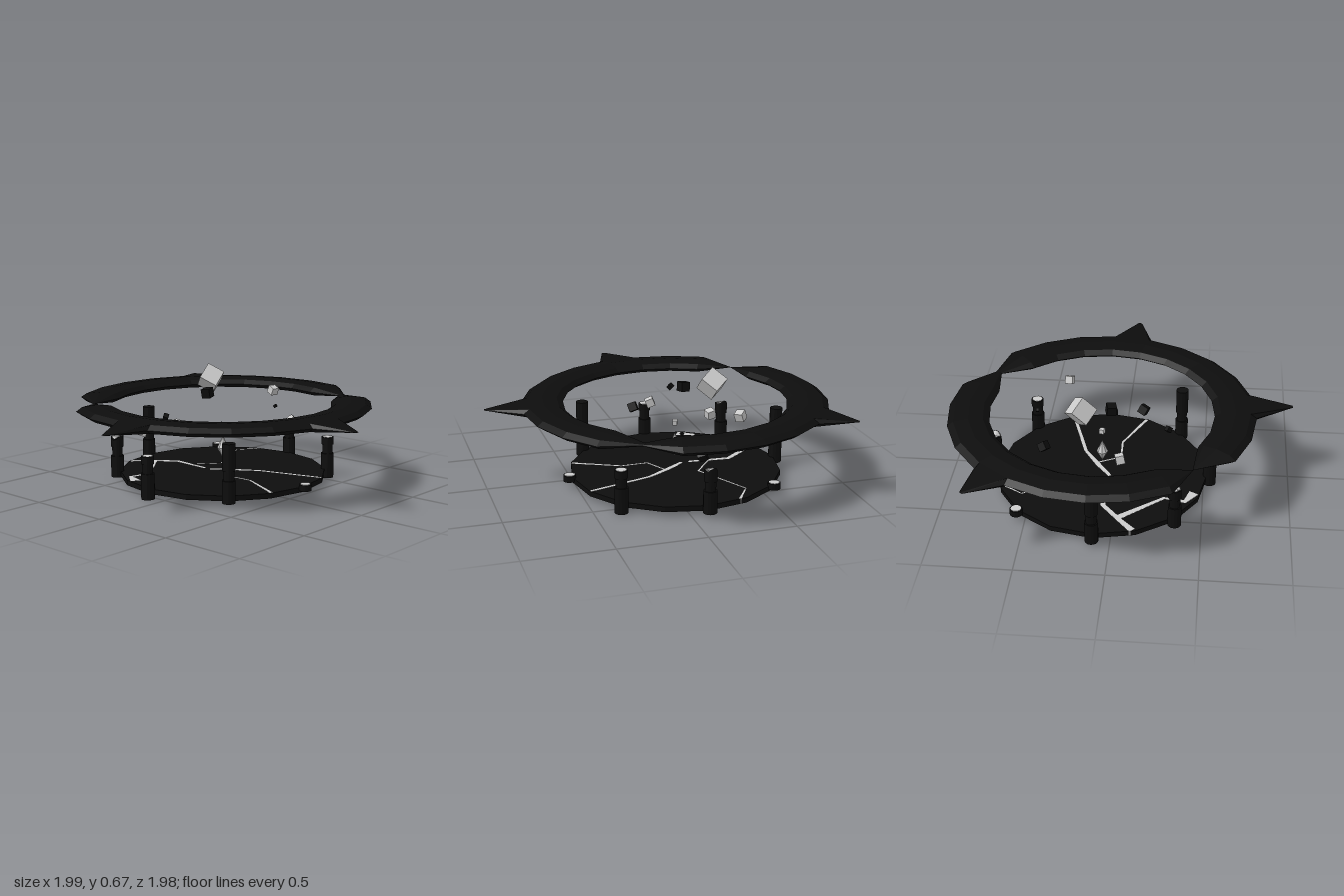
import * as THREE from 'three';
import { ConvexGeometry } from 'three/addons/geometries/ConvexGeometry.js';

const dark = new THREE.MeshStandardMaterial({ color: 0x0d0d0d, flatShading: true });
const grey = new THREE.MeshStandardMaterial({ color: 0xcccccc, flatShading: true });
const STEP = Math.PI / 12;

function add(parent, name, geometry, material, x = 0, y = 0, z = 0) {
  const mesh = new THREE.Mesh(geometry, material);
  mesh.name = name;
  mesh.position.set(x, y, z);
  parent.add(mesh);
  return mesh;
}

const polar = (r, y, a) => new THREE.Vector3(r * Math.cos(a), y, r * Math.sin(a));

// Flattened 24-sided ring, pinched almost shut at two places
function ringGeometry() {
  const R = 0.77, tube = 0.12, pinch = { 2: 0.18, 15: 0.02 };
  const g = new THREE.TorusGeometry(R, tube, 8, 24);
  g.rotateX(Math.PI / 2);
  const p = g.attributes.position;
  for (let i = 0; i < p.count; i++) {
    const seg = i % 25, k = pinch[seg] ?? 1;
    const r = R + (Math.hypot(p.getX(i), p.getZ(i)) - R) * k;
    const v = polar(r, p.getY(i) * 0.29 * k, seg * STEP);
    p.setXYZ(i, v.x, v.y, v.z);
  }
  g.computeVertexNormals();
  return g;
}

// Thorn drawn out from one segment of the rim
function spikeGeometry(seg, reach) {
  const pts = [];
  for (const a of [seg * STEP, (seg + 1) * STEP]) {
    pts.push(polar(0.89, 0, a), polar(0.85, 0.025, a), polar(0.85, -0.025, a));
  }
  const mid = (seg + 0.5) * STEP;
  for (const s of [-1, 1]) {
    pts.push(polar(reach, 0, mid + s * 0.01), polar(reach - 0.003, s * 0.003, mid));
  }
  return new ConvexGeometry(pts);
}

// Broken edge: lift the upper vertices unevenly around the axis
function jag(g, amount) {
  const p = g.attributes.position;
  for (let i = 0; i < p.count; i++) {
    if (p.getY(i) < 0) continue;
    const a = Math.atan2(p.getZ(i), p.getX(i));
    const lift = Math.hypot(p.getX(i), p.getZ(i)) < 0.005 ? -0.6 : Math.cos(a) * 0.6 + Math.cos(a * 3 + 1) * 0.4;
    p.setY(i, p.getY(i) + amount * lift);
  }
  g.computeVertexNormals();
  return g;
}

// Pillar with wide foot, narrow neck and wide head
function pillar(parent, angle, bottom, top, jagged, broken) {
  const group = new THREE.Group();
  group.name = 'pillar';
  group.position.copy(polar(0.635, 0, angle));
  parent.add(group);
  const drum = (name, r, y0, y1) => add(group, name,
    new THREE.CylinderGeometry(r, r, y1 - y0, 14), dark, 0, (y0 + y1) / 2);
  drum('pillarFoot', 0.039, bottom, 0.15);
  drum('pillarNeck', 0.031, 0.15, 0.22);
  const head = drum('pillarHead', 0.037, 0.205, top);
  if (jagged) jag(head.geometry, 0.022);
  if (broken) {
    const cap = new THREE.CylinderGeometry(0.03, 0.03, 0.004, 14);
    add(group, 'pillarCore', jagged ? jag(cap, 0.018) : cap, grey, 0, top);
  }
}

// Short stump: open collar with a pale core
function stump(parent, angle) {
  const v = polar(0.635, 0.055, angle);
  add(parent, 'stumpCollar', new THREE.CylinderGeometry(0.037, 0.037, 0.036, 14), dark, v.x, v.y, v.z);
  add(parent, 'stumpCore', new THREE.CylinderGeometry(0.03, 0.03, 0.004, 14), grey, v.x, 0.074, v.z);
}

// Crack: ribbon through [x, z, width] points, set through the whole slab
function crack(parent, pts) {
  const left = [], right = [];
  pts.forEach(([x, z, w], i) => {
    const a = pts[Math.max(i - 1, 0)], b = pts[Math.min(i + 1, pts.length - 1)];
    const dx = b[0] - a[0], dz = b[1] - a[1], l = Math.hypot(dx, dz) || 1;
    const ox = -dz / l * w / 2, oz = dx / l * w / 2;
    left.push(new THREE.Vector2(x + ox, z + oz));
    right.unshift(new THREE.Vector2(x - ox, z - oz));
  });
  const g = new THREE.ExtrudeGeometry(new THREE.Shape([...left, ...right]), { depth: 0.032, bevelEnabled: false });
  g.rotateX(Math.PI / 2);
  add(parent, 'crack', g, grey, 0, 0.056, 0);
}

export function createModel() {
  const model = new THREE.Group();
  model.name = 'ruinedPortal';
  const core = new THREE.Group();
  core.name = 'platform';
  core.position.set(0.1, 0, -0.1);
  model.add(core);

  // Floating ring with three thorns
  add(core, 'ring', ringGeometry(), dark, 0, 0.465, 0);
  for (const [seg, reach] of [[6, 1.1], [11, 1.108], [20, 1.08]]) {
    add(core, 'ringSpike', spikeGeometry(seg, reach), dark, 0, 0.465, 0);
  }

  // Slab, corners at multiples of 22.5 degrees
  add(core, 'slab', new THREE.CylinderGeometry(0.62, 0.62, 0.03, 16), dark, 0, 0.04, 0);

  // Pillars every 45 degrees; two are worn down to stumps
  const Q = Math.PI / 4;
  pillar(core, 0, 0.02, 0.27, true, true);
  pillar(core, Q, 0, 0.25, false, true);
  stump(core, 2 * Q);
  pillar(core, 3 * Q, 0.02, 0.36, false, false);
  pillar(core, 4 * Q, 0, 0.25, false, true);
  pillar(core, 5 * Q, 0.02, 0.27, true, true);
  pillar(core, 6 * Q, 0.02, 0.36, false, false);
  stump(core, 7 * Q);

  // Cracks in the slab
  crack(model, [[-0.12, -0.67, 0.04], [-0.04, -0.58, 0.03], [0.065, -0.45, 0.03], [0.05, -0.2, 0.02]]);
  crack(model, [[0.05, -0.16, 0.02], [0.13, -0.05, 0.03], [0.22, 0.09, 0.02], [0.335, 0.47, 0.018]]);
  crack(model, [[-0.03, -0.56, 0.04], [-0.28, -0.355, 0.02], [-0.4, -0.38, 0.03], [-0.45, -0.29, 0.06]]);
  crack(model, [[0.14, -0.03, 0.01], [0, 0.04, 0.012], [0.005, 0.2, 0.012], [-0.125, 0.47, 0.02]]);
  crack(model, [[0.07, -0.32, 0.008], [0.21, -0.21, 0.012], [0.545, -0.38, 0.008], [0.68, -0.295, 0.015]]);

  // Pale spindle at the centre
  const spindle = [[0, -0.07], [0.034, -0.005], [0, 0.07]].map(([r, y]) => new THREE.Vector2(r, y));
  add(model, 'spindle', new THREE.LatheGeometry(spindle, 8), grey, 0.1, 0.195, -0.1);

  // Floating debris: x, y, z, size, material
  const debris = [
    [0.2, 0.58, -0.29, 0.11, grey], [0.31, 0.54, 0.115, 0.045, grey],
    [-0.1, 0.258, -0.585, 0.055, grey], [-0.025, 0.318, -0.36, 0.05, grey],
    [0.1, 0.33, -0.1, 0.028, grey], [0.04, 0.525, -0.17, 0.055, dark],
    [-0.13, 0.37, 0.09, 0.05, dark], [-0.29, 0.425, -0.195, 0.03, dark],
    [0.49, 0.4, -0.015, 0.017, dark], [0.44, 0.24, -0.155, 0.05, dark],
  ];
  debris.forEach(([x, y, z, s, material], i) => {
    const cube = add(model, 'debris', new THREE.BoxGeometry(s, s, s), material, x, y, z);
    if (i === 0) cube.rotation.set(0.55, 0.5, 0.6);
    else if (material === grey) cube.rotation.set(0.2, 0.35 + i, 0.2);
    else cube.rotation.set(0.4, i, 0.5);
  });
  return model;
}
